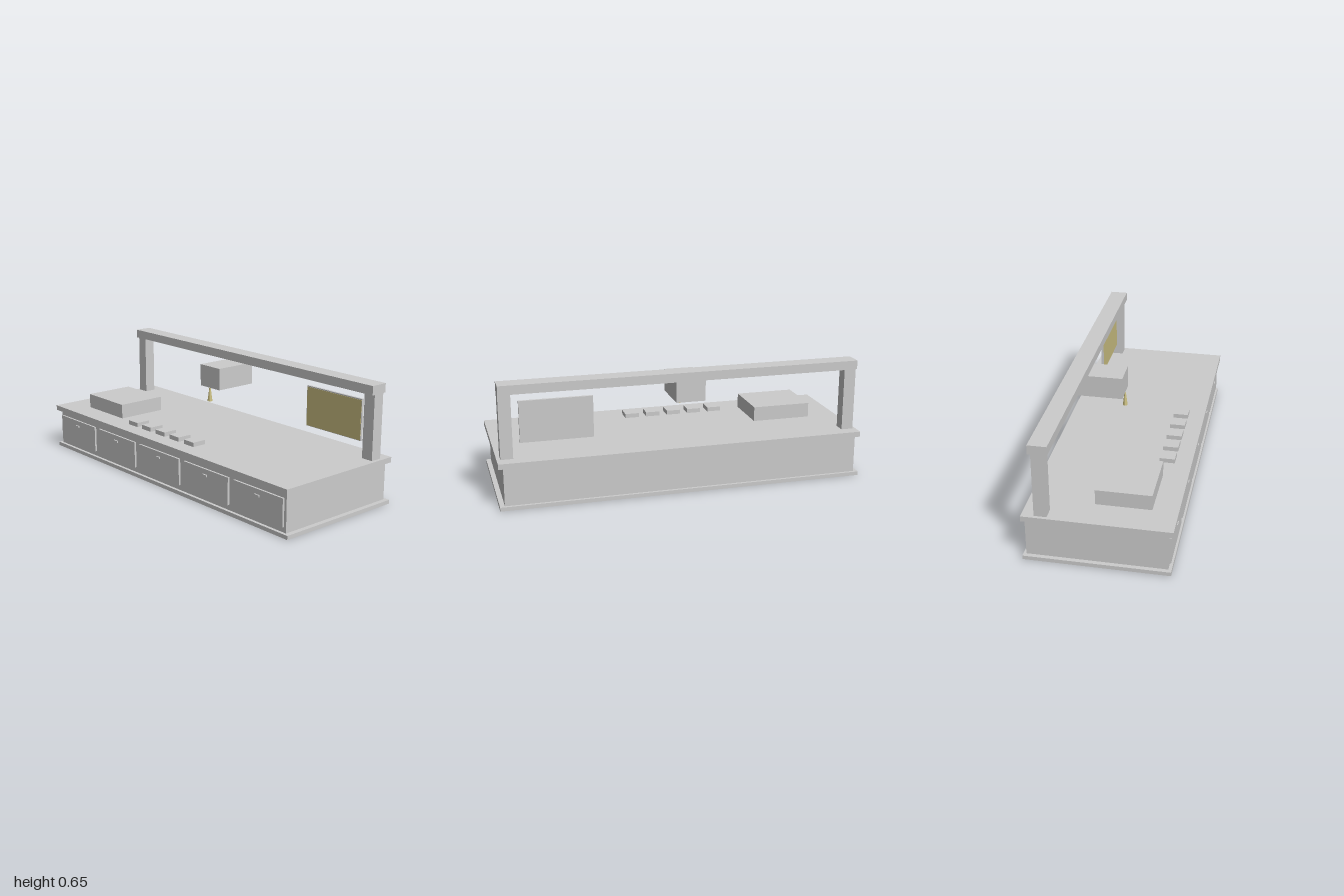
import * as THREE from 'three';

export function createModel() {
  const group = new THREE.Group();
  const grey = new THREE.MeshStandardMaterial({ color: 0xcccccc });
  grey.name = 'light grey';
  const gold = new THREE.MeshStandardMaterial({ color: 0xccc082 });
  gold.name = 'pale gold';

  // Box given by its extents along each axis
  function box(name, [x0, x1], [y0, y1], [z0, z1], material = grey) {
    const mesh = new THREE.Mesh(new THREE.BoxGeometry(x1 - x0, y1 - y0, z1 - z0), material);
    mesh.position.set((x0 + x1) / 2, (y0 + y1) / 2, (z0 + z1) / 2);
    mesh.name = name;
    group.add(mesh);
    return mesh;
  }

  // Counter
  box('plinth', [-1, 1], [0, 0.021], [-0.378, 0.372]);
  box('cabinetBody', [-0.977, 0.974], [0.021, 0.228], [-0.363, 0.355]);
  box('counterTop', [-1, 1], [0.228, 0.257], [-0.378, 0.38]);

  // Drawers with handles
  for (let i = -2; i <= 2; i++) {
    const x = -0.003 + i * 0.393;
    box('drawerFront', [x - 0.176, x + 0.176], [0.05, 0.198], [0.355, 0.366]);
    box('drawerHandle', [x - 0.016, x + 0.016], [0.159, 0.17], [0.366, 0.374]);
  }

  // Items on the counter
  box('counterBlock', [-0.828, -0.496], [0.257, 0.339], [-0.041, 0.248]);
  for (let i = 0; i < 5; i++) {
    const x = -0.333 + i * 0.1243;
    box('smallBlock', [x - 0.04, x + 0.04], [0.257, 0.281], [0.207, 0.29]);
  }

  // Overhead frame
  box('rightPost', [-0.983, -0.917], [0.257, 0.605], [-0.313, -0.248]);
  box('leftPost', [0.914, 0.98], [0.257, 0.605], [-0.313, -0.248]);
  box('overheadBeam', [-0.983, 0.98], [0.605, 0.654], [-0.329, -0.231]);

  // Hanging head and its nozzle
  box('hangingHead', [-0.125, 0.036], [0.481, 0.604], [-0.29, -0.041]);
  const nozzle = new THREE.Mesh(new THREE.CylinderGeometry(0.004, 0.014, 0.076, 8), gold);
  nozzle.geometry = nozzle.geometry.toNonIndexed();
  nozzle.geometry.computeVertexNormals();
  nozzle.position.set(-0.044, 0.443, -0.041);
  nozzle.name = 'nozzle';
  group.add(nozzle);

  // Display panel with a coloured face
  box('panelBack', [0.486, 0.874], [0.333, 0.557], [-0.292, -0.278]);
  box('panelFace', [0.489, 0.871], [0.336, 0.551], [-0.278, -0.276], gold);

  return group;
}
